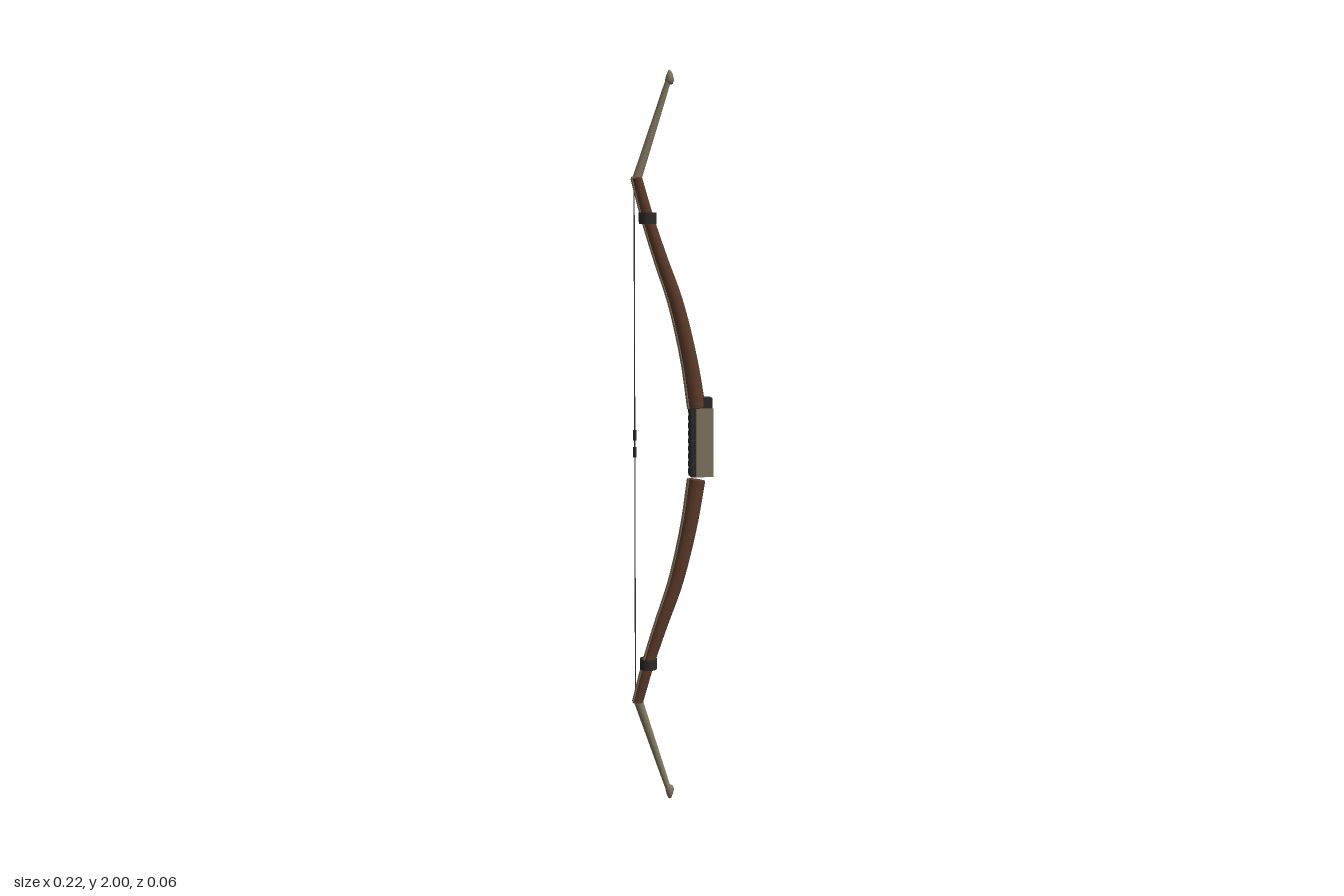
import * as THREE from 'three';

const mat = (name, color, extra = {}) => {
  const m = new THREE.MeshStandardMaterial({ color, ...extra });
  m.name = name;
  return m;
};

// Sweep an ellipse along a curve lying in the xy plane; radii are given as functions of t.
// offset shifts the section sideways within the plane.
function sweep(curve, rn, rz, offset = () => 0, rings = 24, sides = 12) {
  const pos = [], idx = [];
  const add = (p, n, u, z) => pos.push(p.x + n.x * u, p.y + n.y * u, z);
  for (let i = 0; i <= rings; i++) {
    const t = i / rings, p = curve.getPoint(t), d = curve.getTangent(t);
    const n = { x: -d.y, y: d.x };
    for (let j = 0; j < sides; j++) {
      const a = (j / sides) * Math.PI * 2;
      add(p, n, offset(t) + Math.cos(a) * rn(t), Math.sin(a) * rz(t));
    }
  }
  for (let i = 0; i < rings; i++) {
    for (let j = 0; j < sides; j++) {
      const a = i * sides + j, b = i * sides + (j + 1) % sides;
      idx.push(a, b, b + sides, a, b + sides, a + sides);
    }
  }
  // End caps use their own vertices so the rims stay sharp
  for (const ring of [0, rings]) {
    const base = pos.length / 3;
    pos.push(...pos.slice(ring * sides * 3, (ring + 1) * sides * 3));
    for (let j = 1; j < sides - 1; j++) {
      if (ring) idx.push(base, base + j, base + j + 1);
      else idx.push(base, base + j + 1, base + j);
    }
  }
  const g = new THREE.BufferGeometry();
  g.setAttribute('position', new THREE.Float32BufferAttribute(pos, 3));
  g.setIndex(idx);
  g.computeVertexNormals();
  return g;
}

export function createModel() {
  const wood = mat('brown wood', 0x5c3a29);
  const bone = mat('pale horn', 0x827860);
  const leather = mat('dark leather', 0x2c292a);
  const band = mat('dark band', 0x2e2a28, { side: THREE.DoubleSide });
  const cord = mat('string fibre', 0x3a3a38);

  const model = new THREE.Group();
  model.name = 'bow';
  const add = (name, geo, m, x = 0, y = 0, z = 0, parent = model) => {
    const mesh = new THREE.Mesh(geo, m);
    mesh.name = name;
    mesh.position.set(x, y, z);
    parent.add(mesh);
    return mesh;
  };
  const lerp = THREE.MathUtils.lerp;

  // Two limbs, mirrored about mid height
  for (const s of [1, -1]) {
    const side = s > 0 ? 'upper' : 'lower';
    const Y = (h) => 1 + s * h;
    const curve = new THREE.CatmullRomCurve3(
      [[0.07, 0.1], [0.049, 0.23], [0.012, 0.385], [-0.028, 0.5], [-0.064, 0.61], [-0.094, 0.718]]
        .map(([x, h]) => new THREE.Vector3(x, Y(h), 0)));
    const rn = (t) => lerp(0.024, 0.014, t);
    const rz = (t) => lerp(0.022, 0.013, t);
    add(side + 'Limb', sweep(curve, rn, rz), wood);

    // Horn strip along the string side
    add(side + 'BellyStrip',
      sweep(curve, () => 0.003, (t) => rz(t) * 0.5, (t) => s * rn(t)), bone);

    // Open band around the limb
    add(side + 'Band', new THREE.CylinderGeometry(0.0235, 0.0235, 0.03, 24, 1, true), band,
      -0.065, Y(0.61));

    // Horn tip bent forward, with a pointed knob
    const tip = new THREE.LineCurve3(
      new THREE.Vector3(-0.094, Y(0.712), 0), new THREE.Vector3(-0.006, Y(0.98), 0));
    const tr = (t) => lerp(0.0125, 0.0075, t);
    add(side + 'Tip', sweep(tip, tr, tr, undefined, 1, 10), bone);
    const knob = [[0, -0.02], [0.008, -0.018], [0.0125, -0.008], [0.009, 0.006], [0.004, 0.017], [0, 0.02]];
    add(side + 'Knob', new THREE.LatheGeometry(knob.map(([r, y]) => new THREE.Vector2(r, y)), 12),
      bone, -0.005, Y(0.98)).rotation.x = s > 0 ? 0 : Math.PI;
    add(side + 'StringNock', new THREE.SphereGeometry(0.006, 10, 8), bone, -0.104, Y(0.715));
  }

  // Grip: leather core with wraps, riveted side plates and a small shelf
  const grip = new THREE.Group();
  grip.name = 'grip';
  model.add(grip);
  add('gripCore', new THREE.BoxGeometry(0.05, 0.19, 0.042), leather, 0.076, 1.005, 0, grip);
  for (let i = 0; i < 9; i++) {
    add('gripWrap', new THREE.BoxGeometry(0.053, 0.012, 0.049), leather, 0.076, 0.921 + i * 0.021, 0, grip);
  }
  add('arrowShelf', new THREE.BoxGeometry(0.024, 0.04, 0.04), leather, 0.097, 1.106, 0, grip);
  for (const s of [1, -1]) {
    add('gripPlate', new THREE.BoxGeometry(0.047, 0.187, 0.006), bone, 0.086, 1.005, s * 0.029, grip);
    for (const y of [0.93, 1.08]) {
      add('gripRivet', new THREE.CylinderGeometry(0.004, 0.004, 0.01, 8), leather, 0.086, y, s * 0.024, grip)
        .rotation.x = Math.PI / 2;
    }
  }

  // String with two nocking beads
  add('string', new THREE.CylinderGeometry(0.0016, 0.0016, 1.43, 8), cord, -0.101, 1);
  for (const y of [1.027, 0.98]) {
    add('nockingBead', new THREE.CylinderGeometry(0.0045, 0.0045, 0.028, 10), leather, -0.101, y);
  }
  return model;
}
